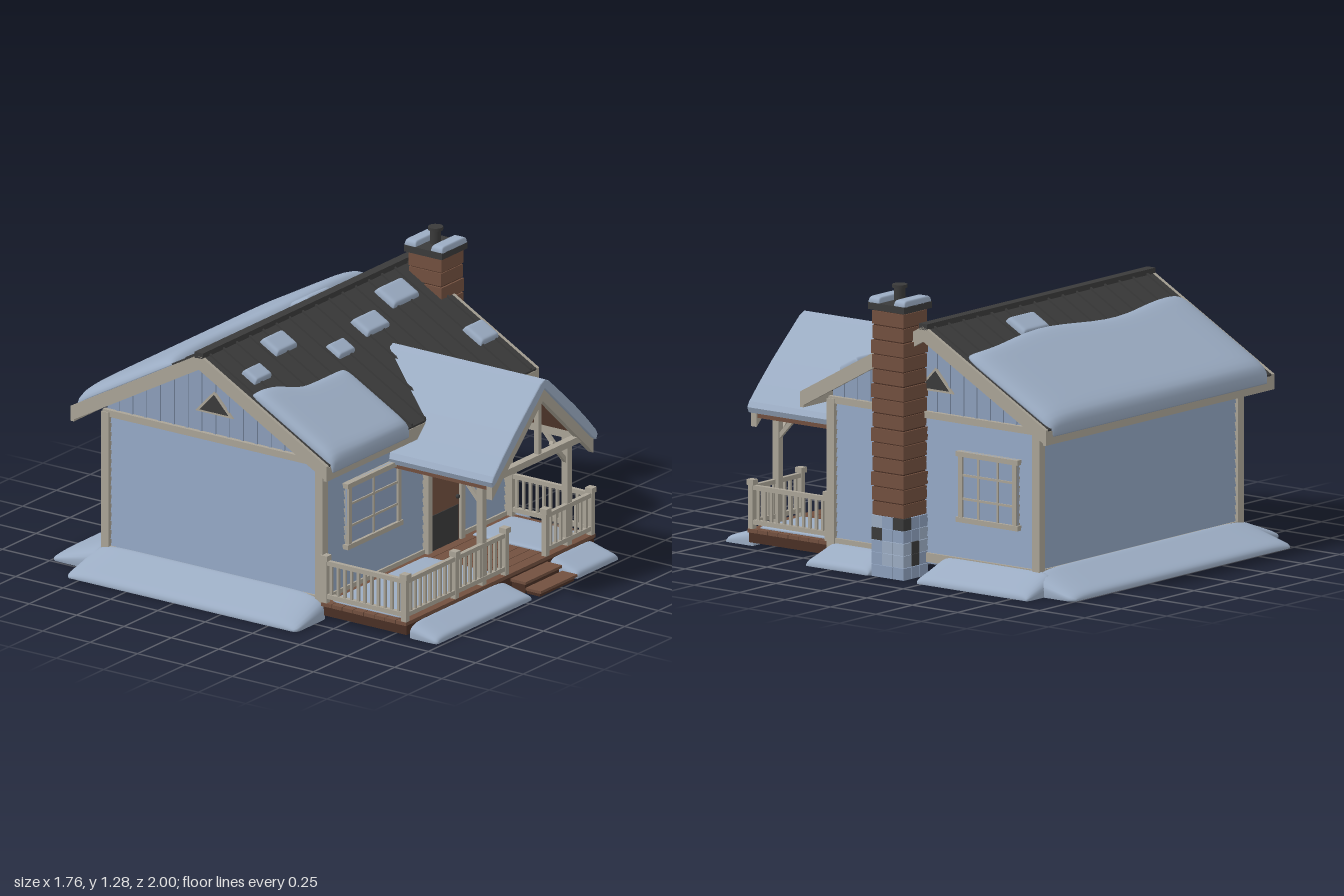
import * as THREE from 'three';
import { mergeVertices } from 'three/addons/utils/BufferGeometryUtils.js';

const mat = (name, color) => {
  const m = new THREE.MeshStandardMaterial({ color });
  m.name = name;
  return m;
};

export function createModel() {
  const wall = mat('siding blue', 0x8c9fbb), snow = mat('snow', 0x9bacc3), trim = mat('trim', 0xaaa497);
  const dark = mat('roof charcoal', 0x3a3a3a), brown = mat('brick brown', 0x72503f), wood = mat('dark wood', 0x4a3025);
  const house = new THREE.Group();
  house.name = 'snowyCabin';

  const add = (name, geo, m, x = 0, y = 0, z = 0) => {
    const mesh = new THREE.Mesh(geo, m);
    mesh.name = name;
    mesh.position.set(x, y, z);
    house.add(mesh);
    return mesh;
  };
  // Box given by its limits on each axis
  const box = (name, m, x0, x1, y0, y1, z0, z1) =>
    add(name, new THREE.BoxGeometry(x1 - x0, y1 - y0, z1 - z0), m, (x0 + x1) / 2, (y0 + y1) / 2, (z0 + z1) / 2);
  // Square beam between two points
  const beam = (name, m, a, b, t) => {
    const p = new THREE.Vector3(...a), q = new THREE.Vector3(...b), d = q.clone().sub(p);
    const mesh = add(name, new THREE.BoxGeometry(t, d.length(), t), m);
    mesh.position.copy(p).add(q).multiplyScalar(0.5);
    mesh.quaternion.setFromUnitVectors(new THREE.Vector3(0, 1, 0), d.normalize());
  };
  const extrude = (pts, depth) => {
    const shape = new THREE.Shape(pts.map(p => new THREE.Vector2(...p)));
    return new THREE.ExtrudeGeometry(shape, { depth, bevelEnabled: false }).translate(0, 0, -depth / 2);
  };
  // Upside-down V running along z
  const chevron = (half, peak, slope, thick, length) => extrude([
    [-half, peak - slope * half], [-half, peak - slope * half - thick], [0, peak - thick],
    [half, peak - slope * half - thick], [half, peak - slope * half], [0, peak]], length);
  // Soft snow slab: wave moves its -z edge, rise tilts it up towards -z, droop bends its +z edge down
  const snowSheet = (name, w, d, t, { wave = () => 0, rise = 0, droop = 0 } = {}) => {
    let g = new THREE.BoxGeometry(2, 2, 2, 28, 1, 20);
    g.deleteAttribute('normal');
    g.deleteAttribute('uv');
    g = mergeVertices(g);
    const p = g.attributes.position;
    for (let i = 0; i < p.count; i++) {
      const u = Math.sin(p.getX(i) * Math.PI / 2), v = Math.sin(p.getZ(i) * Math.PI / 2);
      const edge = Math.sqrt(Math.max(0, (1 - u ** 12) * (1 - v ** 12)));
      const top = p.getY(i) > 0 ? 0.006 + t * edge + rise * (1 - v) / 2 * (0.45 + 0.55 * edge) : 0;
      const x = u * w / 2 * (1 - 0.03 * v ** 12);
      p.setXYZ(i, x, top - droop * Math.max(0, v) ** 10, v * d / 2 + wave(x) * (1 - v) / 2);
    }
    g.computeVertexNormals();
    return add(name, g, snow);
  };

  // Main body: tapered clapboard courses
  const cx = 0.0175, cz = -0.19, W = 1.375, D = 1.15;
  box('floor', wall, -0.66, 0.695, 0.05, 0.1, -0.755, 0.375);
  const rows = 15, rh = 0.61 / rows;
  for (let i = 0; i < rows; i++) {
    const g = new THREE.BoxGeometry(W, rh, D), p = g.attributes.position;
    for (let k = 0; k < p.count; k++) if (p.getY(k) > 0) {
      p.setX(k, p.getX(k) * (1 - 0.018 / W));
      p.setZ(k, p.getZ(k) * (1 - 0.018 / D));
    }
    g.computeVertexNormals();
    add('clapboard', g, wall, cx, 0.09 + rh * (i + 0.5), cz);
  }
  for (const x of [-0.665, 0.7]) for (const z of [0.375, -0.755])
    box('cornerBoard', trim, x - 0.02, x + 0.02, 0.05, 0.71, z - 0.02, z + 0.02);
  for (const x of [-0.668, 0.703]) {
    box('friezeBoard', trim, x - 0.012, x + 0.012, 0.69, 0.72, -0.77, 0.39);
    box('baseBoard', trim, x - 0.01, x + 0.01, 0.06, 0.1, -0.77, 0.39);
  }
  for (const z of [-0.763, 0.383]) box('baseBoard', trim, -0.67, 0.705, 0.06, 0.1, z - 0.009, z + 0.009);

  // Gable ends with battens and a triangular vent
  const gable = extrude([[-0.57, 0.69], [0.57, 0.69], [0.57, 0.76], [0, 1.075], [-0.57, 0.76]], W - 0.02).rotateY(Math.PI / 2);
  add('gableWall', gable, wall, cx, 0, cz);
  for (const s of [-1, 1]) {
    const x = cx + s * (W / 2 - 0.009);
    for (let i = -7; i <= 7; i++) {
      const z = i * 0.073;
      box('gableBatten', wall, x - 0.005, x + 0.005, 0.71, 1.07 - 0.55 * Math.abs(z), cz + z - 0.006, cz + z + 0.006);
    }
    add('ventFrame', extrude([[-0.1, 0.81], [0.1, 0.81], [0, 0.915]], 0.016).rotateY(Math.PI / 2), trim, x, 0, cz);
    add('vent', extrude([[-0.075, 0.82], [0.075, 0.82], [0, 0.9]], 0.024).rotateY(Math.PI / 2), dark, x, 0, cz);
  }

  // Main roof with standing seams, barge boards and eave boards
  const rz = -0.195, roofY = z => 1.11 - 0.55 * Math.abs(z - rz), pitch = Math.atan(0.55);
  const roofPart = (name, m, half, peak, thick, len, x) =>
    add(name, chevron(half, peak, 0.55, thick, len).rotateY(Math.PI / 2), m, x, 0, rz);
  roofPart('roof', dark, 0.672, 1.11, 0.035, 1.55, 0.01);
  for (let i = 0; i < 16; i++) roofPart('roofSeam', dark, 0.67, 1.119, 0.02, 0.01, -0.72 + i * 0.0975);
  for (const x of [-0.767, 0.787]) roofPart('bargeBoard', trim, 0.676, 1.112, 0.068, 0.016, x);
  box('ridgeCap', dark, -0.775, 0.795, 1.095, 1.122, rz - 0.022, rz + 0.022);
  for (const z of [0.472, -0.862]) box('eaveBoard', trim, -0.775, 0.795, 0.672, 0.732, z - 0.008, z + 0.008);

  // Snow lying on the main roof
  const layOnRoof = (mesh, x, z) => {
    mesh.position.set(x, roofY(z), z);
    mesh.rotation.set(z > rz ? pitch : -pitch, z > rz ? 0 : Math.PI, 0);
  };
  layOnRoof(snowSheet('frontRoofSnow', 0.575, 0.49, 0.036,
    { wave: x => 0.03 + 0.04 * Math.tanh(x * 14 + 1.5), droop: 0.03 }), -0.457, 0.285);
  layOnRoof(snowSheet('backRoofSnow', 1.51, 0.57, 0.045,
    { wave: x => 0.022 * Math.sin(x * 7), droop: 0.03 }), 0.01, -0.635);
  const patches = [[-0.61, -0.01, 0.12, 0.08], [-0.335, -0.09, 0.15, 0.1], [-0.07, 0.045, 0.12, 0.08],
    [0.215, 0, 0.165, 0.1], [0.51, -0.07, 0.19, 0.115], [0.695, 0.24, 0.13, 0.11], [0.235, -0.32, 0.18, 0.11]];
  for (const [x, z, w, d] of patches) layOnRoof(snowSheet('roofSnowPatch', w, d, 0.022), x, z);

  // Chimney: stone base, brick courses, cap and flue
  for (let r = 0; r < 5; r++) for (let i = 0; i < 3; i++) for (let k = 0; k < 3; k++) {
    const x = 0.7 + i * 0.056, z = -0.145 + k * 0.06;
    const m = [wall, dark, snow, wall, dark, wall, snow][(r * 3 + i * 5 + k * 2 + r * k) % 7];
    box('baseStone', m, x, x + 0.054, r * 0.054, r * 0.054 + 0.052, z, z + 0.058);
  }
  box('chimneyCore', wood, 0.708, 0.857, 0.004, 1.17, -0.135, 0.025);
  for (let i = 0; i < 14; i++) {
    const y = 0.27 + i * 0.0643, o = (i % 3) * 0.002;
    box('brickCourse', brown, 0.702 - o, 0.861 + o, y, y + 0.058, -0.14 - o, 0.03 + o);
  }
  box('chimneyCap', dark, 0.685, 0.875, 1.17, 1.2, -0.155, 0.045);
  for (const z of [-0.125, 0.015]) snowSheet('capSnow', 0.185, 0.06, 0.022).position.set(0.78, 1.198, z);
  add('flue', new THREE.CylinderGeometry(0.024, 0.024, 0.08, 16), dark, 0.78, 1.23, -0.055);
  add('flueCap', new THREE.CylinderGeometry(0.033, 0.033, 0.014, 16), dark, 0.78, 1.27, -0.055);

  // Windows, built facing +z and turned to their wall
  const makeWindow = (w, h, cols, x, y, z, turn) => {
    const g = new THREE.Group();
    g.name = 'window';
    const part = (name, m, pw, ph, px, py, d) => {
      const mesh = new THREE.Mesh(new THREE.BoxGeometry(pw, ph, d), m);
      mesh.name = name;
      mesh.position.set(px, py, 0);
      g.add(mesh);
    };
    part('glass', wall, w, h, 0, 0, 0.008);
    for (const s of [-1, 1]) {
      part('windowFrame', trim, 0.022, h, s * (w / 2 - 0.011), 0, 0.03);
      part('windowFrame', trim, w + 0.02, 0.022, 0, s * (h / 2 - 0.011), 0.036);
    }
    for (let i = 1; i < cols; i++) part('mullion', trim, 0.01, h, -w / 2 + i * w / cols, 0, 0.02);
    for (let i = 1; i < 3; i++) part('mullion', trim, w, 0.01, 0, -h / 2 + i * h / 3, 0.02);
    g.position.set(x, y, z);
    g.rotation.y = turn;
    house.add(g);
  };
  makeWindow(0.39, 0.3, 2, -0.31, 0.42, 0.39, 0);
  makeWindow(0.32, 0.31, 3, 0.71, 0.415, -0.49, Math.PI / 2);

  // Door
  box('door', brown, 0.1, 0.32, 0.08, 0.55, 0.38, 0.396);
  box('doorPanel', dark, 0.11, 0.31, 0.08, 0.24, 0.394, 0.4);
  for (const x of [0.09, 0.335]) box('doorFrame', trim, x - 0.015, x + 0.015, 0.08, 0.56, 0.38, 0.41);
  box('doorFrame', trim, 0.075, 0.35, 0.55, 0.58, 0.38, 0.41);
  add('doorKnob', new THREE.SphereGeometry(0.01, 12, 8), dark, 0.3, 0.28, 0.405);

  // Porch deck and steps
  box('deckBase', wood, -0.68, 0.705, 0.02, 0.066, 0.385, 0.835);
  for (let i = 0; i < 8; i++) box('deckBoard', brown, -0.69, 0.712, 0.064, 0.08, 0.39 + i * 0.0565, 0.443 + i * 0.0565);
  for (let i = 0; i < 2; i++) {
    const z = 0.84 + i * 0.08, y = 0.058 - i * 0.025;
    box('stepRiser', wood, 0.09, 0.34, 0.004, y - 0.012, z, z + 0.07);
    box('stepTread', brown, 0.08, 0.35, y - 0.012, y, z, z + 0.08);
  }

  // Railings
  const rail = (x0, z0, x1, z1) => {
    const n = Math.round(Math.hypot(x1 - x0, z1 - z0) / 0.036);
    for (const y of [0.11, 0.262]) beam('rail', trim, [x0, y, z0], [x1, y, z1], 0.02);
    for (let i = 1; i < n; i++) {
      const x = x0 + (x1 - x0) * i / n, z = z0 + (z1 - z0) * i / n;
      box('baluster', trim, x - 0.006, x + 0.006, 0.11, 0.262, z - 0.006, z + 0.006);
    }
  };
  const rf = 0.825;
  for (const [a, b] of [[-0.675, -0.31], [-0.31, 0.06], [0.36, 0.695]]) rail(a, rf, b, rf);
  for (const x of [-0.675, 0.695]) rail(x, rf, x, 0.4);
  for (const [x, z] of [[-0.675, rf], [-0.31, rf], [0.06, rf], [0.36, rf], [0.695, rf], [-0.675, 0.405], [0.695, 0.405]]) {
    box('railPost', trim, x - 0.013, x + 0.013, 0.08, 0.275, z - 0.013, z + 0.013);
    box('railPostCap', trim, x - 0.018, x + 0.018, 0.272, 0.296, z - 0.018, z + 0.018);
  }

  // Porch roof: columns, beams, braces, truss, boards and snow
  const px = 0.215;
  for (const s of [-1, 1]) {
    const x = px + s * 0.315;
    box('porchColumn', trim, x - 0.016, x + 0.016, 0.08, 0.58, 0.8, 0.832);
    box('porchSideBeam', trim, x - 0.016, x + 0.016, 0.57, 0.605, 0.38, 0.88);
    beam('porchBrace', trim, [x, 0.455, 0.815], [x - s * 0.115, 0.575, 0.815], 0.018);
    beam('porchBrace', trim, [x, 0.455, 0.81], [x, 0.575, 0.7], 0.018);
  }
  box('porchTieBeam', trim, px - 0.36, px + 0.36, 0.57, 0.6, 0.87, 0.905);
  box('kingPost', trim, px - 0.012, px + 0.012, 0.59, 0.88, 0.877, 0.9);
  add('porchCeiling', chevron(0.37, 0.905, 0.92, 0.025, 0.75), brown, px, 0, 0.52);
  add('porchBargeBoard', chevron(0.375, 0.915, 0.92, 0.07, 0.03), trim, px, 0, 0.9);
  const half = [[0, 0.942], [0.03, 0.928], [0.12, 0.85], [0.22, 0.762], [0.31, 0.675], [0.375, 0.607], [0.388, 0.585], [0.38, 0.566], [0.36, 0.578]];
  const outline = [...half.slice(1).reverse().map(([x, y]) => [-x, y]), ...half, [0, 0.908]];
  const porchSnow = new THREE.ExtrudeGeometry(new THREE.Shape(outline.map(p => new THREE.Vector2(...p))),
    { depth: 0.79, bevelThickness: 0.008, bevelSize: 0.004, bevelSegments: 2 });
  add('porchRoofSnow', porchSnow, snow, px, 0, 0.128);

  // Snow on the deck
  for (const [x0, x1] of [[-0.655, 0.04], [0.385, 0.675]])
    snowSheet('deckSnow', x1 - x0, 0.38, 0.008).position.set((x0 + x1) / 2, 0.078, 0.61);

  // Snow banks round the base
  const bank = (len, depth, rise, x, z, turn) => {
    const m = snowSheet('snowBank', len, depth, 0.02, { rise });
    m.position.set(x, 0, z);
    m.rotation.y = turn;
  };
  bank(1.51, 0.24, 0.09, 0.015, -0.88, Math.PI);
  bank(1.22, 0.23, 0.09, -0.77, -0.21, -Math.PI / 2);
  bank(0.62, 0.19, 0.08, 0.785, -0.53, Math.PI / 2);
  bank(0.35, 0.18, 0.06, 0.785, 0.215, Math.PI / 2);
  bank(0.71, 0.15, 0.045, -0.305, 0.905, 0);
  bank(0.31, 0.15, 0.045, 0.53, 0.905, 0);
  return house;
}
